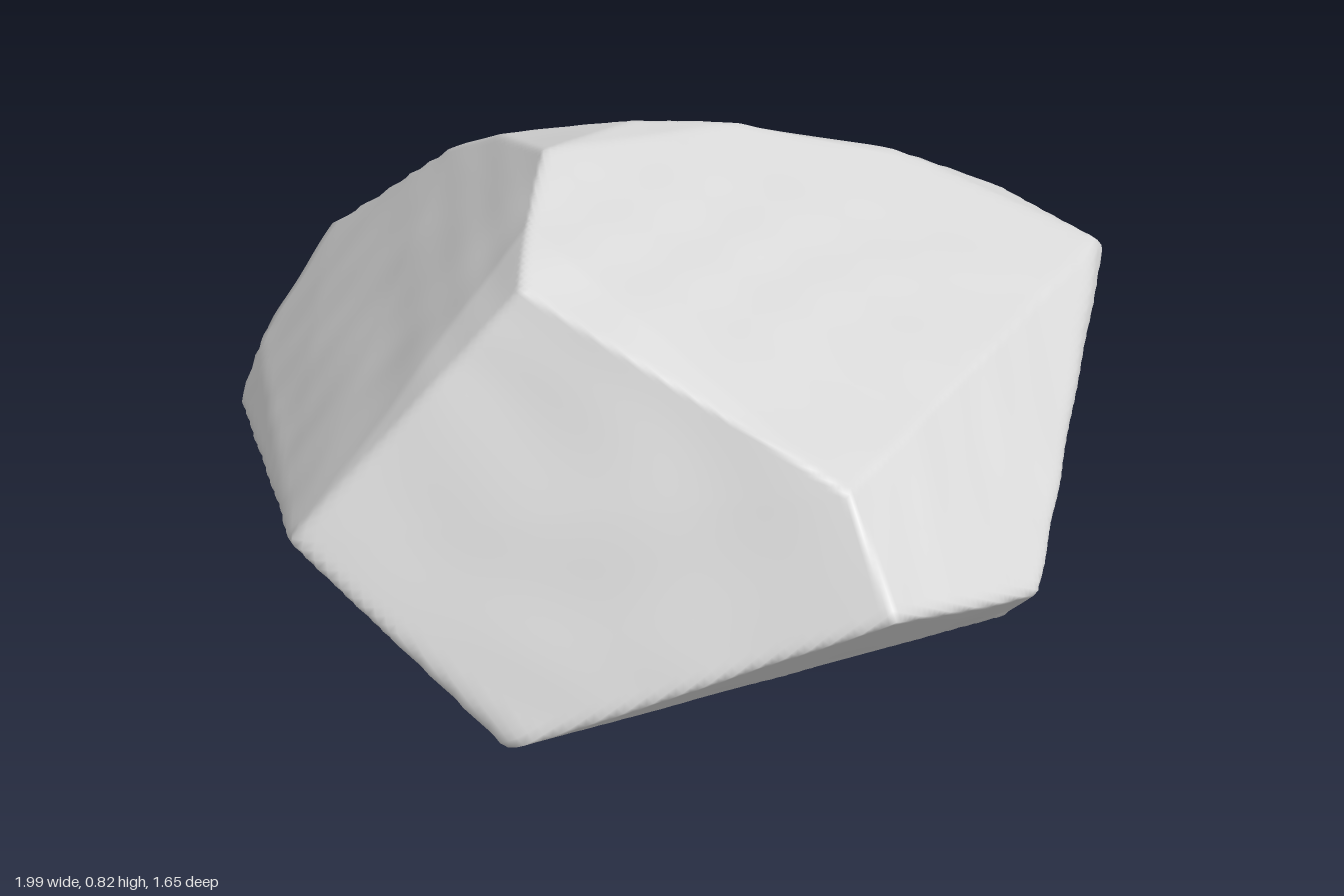
import * as THREE from 'three';
import { mergeVertices } from 'three/addons/utils/BufferGeometryUtils.js';
import { ConvexGeometry } from 'three/addons/geometries/ConvexGeometry.js';

// Corners of the broken facets
const corners = [
  // front and crown
  [-1, 0.31, 0.27], [-0.46, 0.735, 0.13], [-0.4, 0.785, -0.03], [0.08, 0.45, 0.64],
  [0.12, 0.25, 0.828], [-0.62, 0.02, 0.7], [0.51, 0.1, 0.65], [-0.3, 0.823, -0.25],
  // right end
  [1, 0.36, -0.2], [0.97, 0.405, -0.17], [0.8, 0.465, -0.37], [0.83, 0.3, -0.42],
  [0.8, 0.1, -0.55], [0.93, 0.19, -0.28],
  // back ridge and back left corner
  [-0.05, 0.765, -0.41], [0.2, 0.715, -0.41], [0.54, 0.6, -0.38], [-0.34, 0.74, -0.48],
  [-0.42, 0.64, -0.62], [-0.67, 0.36, -0.83], [-0.95, 0.12, -0.55], [-0.88, 0.2, -0.65],
  // flat base
  [-0.66, 0, 0.68], [0.46, 0, 0.58], [0.88, 0, -0.22], [0.72, 0, -0.6],
  [0.44, 0, -0.73], [-0.85, 0, -0.48],
].map((p) => new THREE.Vector3(...p));

// Planes of the convex block, taken from its triangles
function facetPlanes(points) {
  const pos = new ConvexGeometry(points).attributes.position;
  const planes = [];
  for (let i = 0; i < pos.count; i += 3) {
    const [a, b, c] = [0, 1, 2].map((k) => new THREE.Vector3().fromBufferAttribute(pos, i + k));
    planes.push(new THREE.Plane().setFromCoplanarPoints(a, b, c));
  }
  return planes;
}

// Gentle uneven lumps on the stone surface
const lumps = (p) =>
  0.003 * Math.sin(9 * p.x + 4 * Math.sin(5 * p.z)) * Math.sin(8 * p.z - 6 * p.y + 3 * Math.sin(4 * p.x)) +
  0.001 * Math.sin(21 * p.x - 13 * p.z + 3 * Math.sin(9 * p.y)) * Math.sin(23 * p.y + 17 * p.z);

// Dense ball shrunk on to the facets, so edges are slightly worn
function stoneGeometry() {
  const centre = new THREE.Vector3(0, 0.3, 0);
  const planes = facetPlanes(corners);
  let geo = new THREE.IcosahedronGeometry(1, 64);
  geo.deleteAttribute('normal');
  geo.deleteAttribute('uv');
  geo = mergeVertices(geo, 1e-5);
  const pos = geo.attributes.position;
  const dir = new THREE.Vector3();
  const p = new THREE.Vector3();
  for (let i = 0; i < pos.count; i++) {
    dir.fromBufferAttribute(pos, i).normalize();
    let reach = 10;
    for (const plane of planes) {
      const slope = plane.normal.dot(dir);
      if (slope > 1e-6) reach = Math.min(reach, -plane.distanceToPoint(centre) / slope);
    }
    p.copy(centre).addScaledVector(dir, reach);
    if (p.y > 0.01) p.addScaledVector(dir, lumps(p));
    pos.setXYZ(i, p.x, Math.max(p.y, 0), p.z);
  }
  geo.computeVertexNormals();
  return geo;
}

export function createModel() {
  const group = new THREE.Group();
  group.name = 'rock';
  const stone = new THREE.MeshStandardMaterial({ color: 0xd6d6d6 });
  stone.name = 'grey stone';
  const boulder = new THREE.Mesh(stoneGeometry(), stone);
  boulder.name = 'boulder';
  group.add(boulder);
  return group;
}
